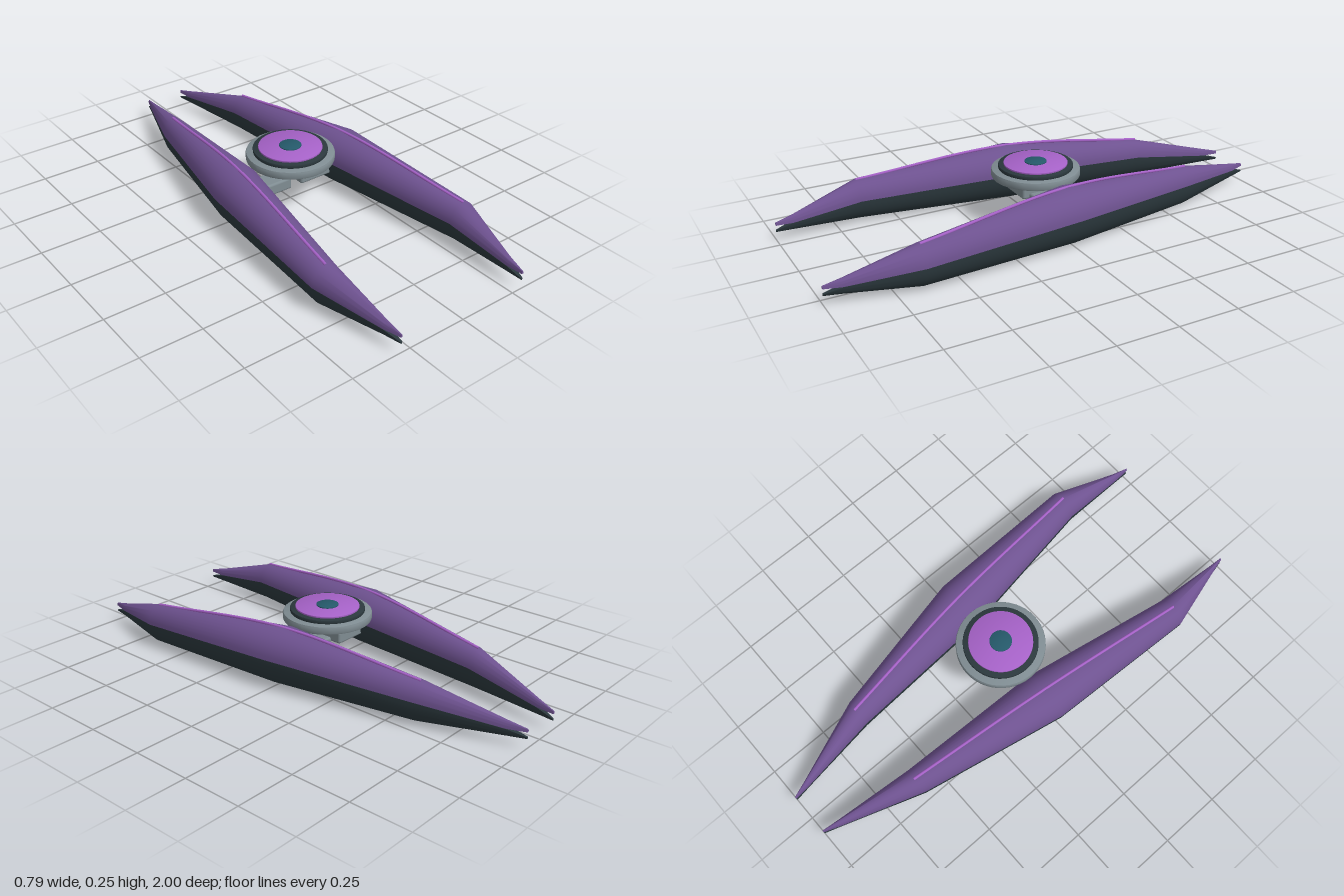
import * as THREE from 'three';
import { toCreasedNormals } from 'three/addons/utils/BufferGeometryUtils.js';
import { RoundedBoxGeometry } from 'three/addons/geometries/RoundedBoxGeometry.js';

const flat = (name, color) => Object.assign(new THREE.MeshStandardMaterial({ color }), { name });

// Hull stations: z, centre x, half width, top y, upper seam y, lower seam y, bottom y
const STATIONS = [
  [-1.0, 0.088, 0.004, 0.082, 0.070, 0.050, 0.042],
  [-0.93, 0.105, 0.013, 0.098, 0.069, 0.068, 0.037],
  [-0.6, 0.185, 0.055, 0.177, 0.109, 0.109, 0.013],
  [0, 0.263, 0.106, 0.237, 0.133, 0.133, 0.003],
  [0.65, 0.333, 0.063, 0.179, 0.106, 0.106, 0.014],
  [0.93, 0.299, 0.015, 0.099, 0.069, 0.068, 0.037],
  [1.0, 0.292, 0.004, 0.082, 0.070, 0.050, 0.042],
];

// Half-elliptical shell lofted along z; side is +1 or -1
function hullShell(side, upper) {
  const n = 18, ring = n + 1, pos = [], idx = [];
  for (const [z, cx, hw, top, seamUp, seamLow, bottom] of STATIONS) {
    const base = upper ? seamUp : seamLow;
    const h = (upper ? top : bottom) - base;
    for (let j = 0; j <= n; j++) {
      const a = (Math.PI * j) / n;
      pos.push(side * (cx + hw * Math.cos(a)), base + h * Math.sin(a), z);
    }
  }
  const flip = side * (upper ? 1 : -1) < 0;
  const tri = (a, b, c) => (flip ? idx.push(a, c, b) : idx.push(a, b, c));
  const last = (STATIONS.length - 1) * ring;
  for (let i = 0; i < last; i += ring) {
    for (let j = 0; j < ring; j++) {
      const k = (j + 1) % ring;
      tri(i + j, i + k, i + ring + j);
      tri(i + k, i + ring + k, i + ring + j);
    }
  }
  // end caps
  for (let j = 1; j < n; j++) {
    tri(0, j + 1, j);
    tri(last, last + j, last + j + 1);
  }
  const geo = new THREE.BufferGeometry();
  geo.setAttribute('position', new THREE.Float32BufferAttribute(pos, 3));
  geo.setIndex(idx);
  return toCreasedNormals(geo, 0.9);
}

// Round plate with a small bevel on both rims
function disc(radius, y0, y1, bevel) {
  const points = [
    [0, y0], [radius - bevel, y0], [radius - bevel * 0.3, y0 + bevel * 0.3], [radius, y0 + bevel],
    [radius, y1 - bevel], [radius - bevel * 0.3, y1 - bevel * 0.3], [radius - bevel, y1], [0, y1],
  ].map(([x, y]) => new THREE.Vector2(x, y));
  return toCreasedNormals(new THREE.LatheGeometry(points, 48), 0.5);
}

export function createModel() {
  const purple = flat('hullPurple', 0x6e5290);
  const dark = flat('darkSlate', 0x2b383d);
  const grey = flat('metalGrey', 0x7f8c92);
  const accent = flat('brightPurple', 0xa662c8);
  const teal = flat('deepTeal', 0x25596a);

  const model = new THREE.Group();
  model.name = 'twinHullCraft';
  const add = (parent, name, geo, mat) => {
    const mesh = new THREE.Mesh(geo, mat);
    mesh.name = name;
    parent.add(mesh);
    return mesh;
  };

  // Twin hulls with ridge strips and inward pylons
  for (const side of [1, -1]) {
    const hull = new THREE.Group();
    hull.name = side > 0 ? 'leftHull' : 'rightHull';
    add(hull, 'upperShell', hullShell(side, true), purple);
    add(hull, 'lowerShell', hullShell(side, false), dark);

    const path = new THREE.CatmullRomCurve3([
      new THREE.Vector3(side * 0.185, 0.177, -0.61),
      new THREE.Vector3(side * 0.261, 0.235, 0),
      new THREE.Vector3(side * 0.335, 0.179, 0.65),
    ]);
    add(hull, 'ridgeStrip', new THREE.TubeGeometry(path, 40, 0.006, 8), accent);

    const pylon = add(hull, 'pylon', new RoundedBoxGeometry(0.19, 0.052, 0.09, 2, 0.01), grey);
    pylon.position.set(side * 0.119, 0.104, 0);
    model.add(hull);
  }

  // Central stacked disc
  const hub = new THREE.Group();
  hub.name = 'centralDisc';
  add(hub, 'baseDisc', disc(0.181, 0.194, 0.229, 0.007), grey);
  add(hub, 'darkDisc', disc(0.152, 0.228, 0.244, 0.003), dark);
  add(hub, 'brightDisc', disc(0.13, 0.243, 0.251, 0.002), accent);
  add(hub, 'centreCap', disc(0.045, 0.25, 0.255, 0.001), teal);
  model.add(hub);

  return model;
}
